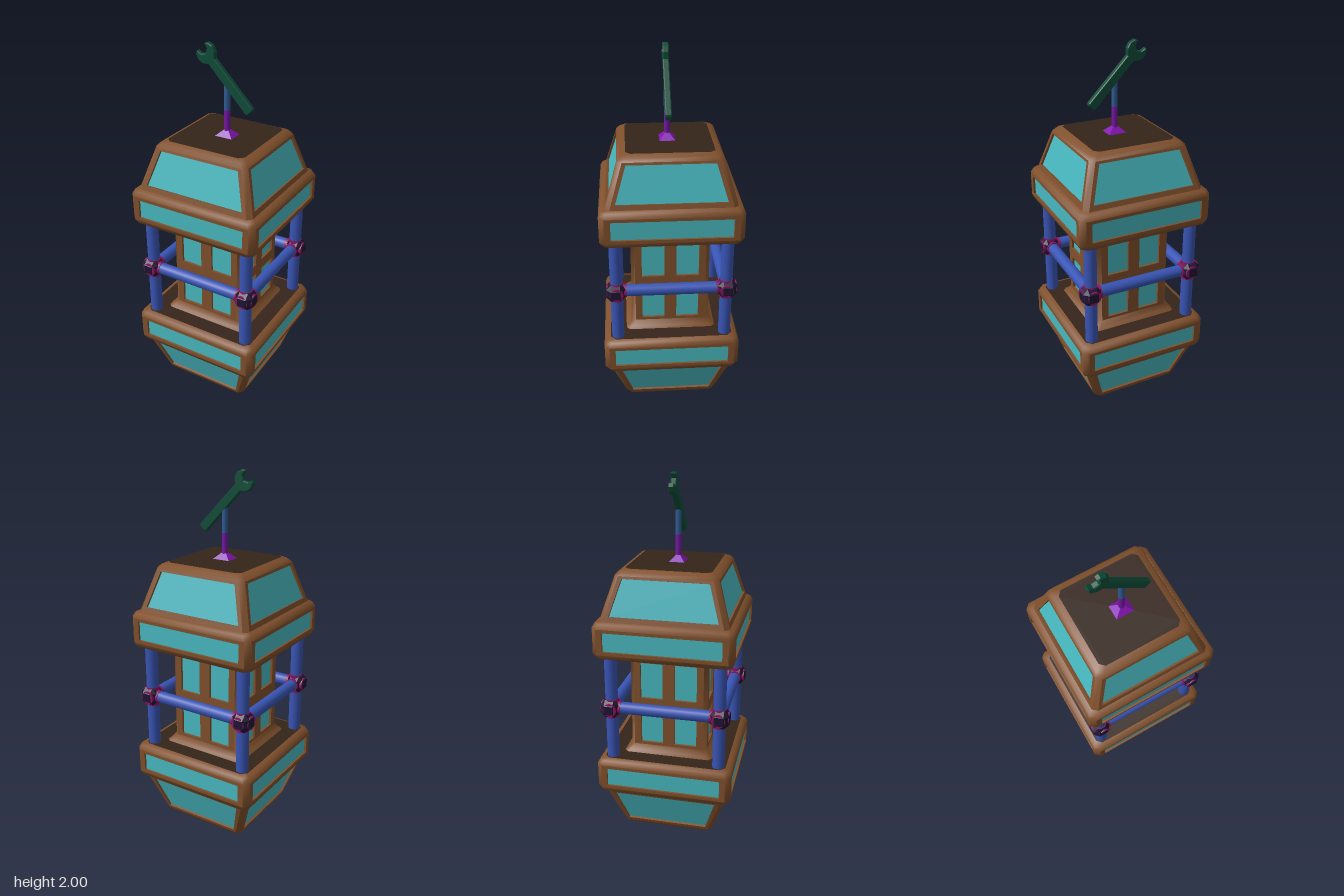
import * as THREE from 'three';
import { mergeGeometries, toCreasedNormals } from 'three/addons/utils/BufferGeometryUtils.js';
import { ConvexGeometry } from 'three/addons/geometries/ConvexGeometry.js';

const mat = (color, flatShading = false) => new THREE.MeshStandardMaterial({ color, flatShading });
const BROWN = mat(0x80502c), DARK = mat(0x35241a), TEAL = mat(0x48b8c0), BLUE = mat(0x3854b4);
const NAVY = mat(0x1e1432, true), PINK = mat(0x8a1460), PURPLE = mat(0x8414b4, true);
const STEEL = mat(0x2f5a90), GREEN = mat(0x0d4c38);

function add(parent, name, geometry, material, x = 0, y = 0, z = 0) {
  const mesh = new THREE.Mesh(geometry, material);
  mesh.name = name;
  mesh.position.set(x, y, z);
  parent.add(mesh);
  return mesh;
}

// Keep only positions and normals so that pieces can be merged
function plain(geometry) {
  const g = geometry.index ? geometry.toNonIndexed() : geometry;
  g.deleteAttribute('uv');
  return g;
}

// Square section with cut corners
const ring = ([h, y], c) => {
  const k = h - c;
  return [[h, k], [h, -k], [k, -h], [-k, -h], [-h, -k], [-h, k], [-k, h], [k, h]].map(([x, z]) => [x, y, z]);
};

// Skin through the sections; the four flat sides stay open after section `open`
function loft(profile, c, open) {
  const rings = profile.map(p => ring(p, c)), pos = [];
  for (let j = 0; j < rings.length - 1; j++) {
    for (let i = 0; i < 8; i++) {
      if (j === open && i % 2 === 0) continue;
      const n = (i + 1) % 8;
      const a = rings[j][i], b = rings[j][n], d = rings[j + 1][n], e = rings[j + 1][i];
      pos.push(...a, ...b, ...d, ...a, ...d, ...e);
    }
  }
  const g = new THREE.BufferGeometry();
  g.setAttribute('position', new THREE.Float32BufferAttribute(pos, 3));
  return toCreasedNormals(g, 1);
}

// Flat octagonal lid at an end of the profile
function lid(p, c, up) {
  const s = new THREE.Shape(ring(p, c).map(([x, , z]) => new THREE.Vector2(x, z)));
  return new THREE.ShapeGeometry(s).rotateX(up ? -Math.PI / 2 : Math.PI / 2).translate(0, p[1], 0);
}

const around = g => mergeGeometries([0, 1, 2, 3].map(k => g.clone().rotateY(k * Math.PI / 2)));

// One storey: skin, four frames with window openings, recessed panes, dark lids
// windows: [left, right, bottom, top, inset of each side at the top]
function tier(parent, name, profile, c, open, windows, depth) {
  const group = new THREE.Group();
  group.name = name;
  const [h0, y0] = profile[open], [h1, y1] = profile[open + 1];
  const slope = Math.hypot(y1 - y0, h1 - h0) / (y1 - y0);
  const v = y => (y - y0) * slope;
  const poly = pts => pts.map(([x, y]) => new THREE.Vector2(x, v(y)));
  const wall = new THREE.Shape(poly([[c - h0, y0], [h0 - c, y0], [h1 - c, y1], [c - h1, y1]]));
  const holes = windows.map(([l, r, b, t, s = 0]) => poly([[l, b], [r, b], [r - s, t], [l + s, t]]));
  wall.holes = holes.map(p => new THREE.Path(p));
  const place = g => plain(g).translate(0, 0, -depth).rotateX(Math.atan2(h1 - h0, y1 - y0)).translate(0, y0, h0);
  const frame = place(new THREE.ExtrudeGeometry(wall, { depth, bevelEnabled: false }));
  const panes = place(new THREE.ShapeGeometry(holes.map(p => new THREE.Shape(p))));
  add(group, name + 'Frame', mergeGeometries([plain(loft(profile, c, open)), around(frame)]), BROWN);
  add(group, name + 'Panes', around(panes), TEAL);
  add(group, name + 'Bottom', lid(profile[0], c, false), DARK);
  add(group, name + 'Top', lid(profile[profile.length - 1], c, true), DARK);
  parent.add(group);
}

export function createModel() {
  const model = new THREE.Group();
  model.name = 'lantern';

  // Tapered ends
  tier(model, 'base', [[0.225, 0], [0.25, 0.012], [0.262, 0.03], [0.345, 0.275]], 0.025, 2,
    [[-0.225, 0.225, 0.048, 0.25, -0.06]], 0.012);
  tier(model, 'roof', [[0.345, 1.26], [0.272, 1.5], [0.255, 1.518], [0.228, 1.53]], 0.025, 0,
    [[-0.287, 0.287, 1.298, 1.487, 0.058]], 0.012);

  // Wide bands
  for (const [name, y] of [['lowerBand', 0.265], ['upperBand', 1.063]]) {
    const p = [[0.338, 0], [0.363, 0.01], [0.375, 0.035], [0.375, 0.175], [0.363, 0.2], [0.338, 0.21]];
    tier(model, name, p.map(([h, dy]) => [h, y + dy]), 0.028, 2,
      [[-0.315, 0.315, y + 0.053, y + 0.158]], 0.012);
  }

  // Core with four windows on each side
  const windows = [];
  for (const [b, t] of [[0.53, 0.738], [0.8, 1.008]])
    for (const s of [-1, 1]) windows.push([s * 0.095 - 0.062, s * 0.095 + 0.062, b, t]);
  tier(model, 'core', [[0.255, 0.47], [0.235, 0.487], [0.215, 0.515], [0.215, 1.023], [0.235, 1.051], [0.255, 1.068]],
    0.02, 2, windows, 0.014);

  // Posts, rails and corner joints
  const Y = 0.77, P = 0.297;
  const corners = [];
  for (const sx of [-1, 1]) for (const sy of [-1, 1]) for (const sz of [-1, 1])
    for (const [a, b, c] of [[0.052, 0.024, 0.024], [0.024, 0.052, 0.024], [0.024, 0.024, 0.052]])
      corners.push(new THREE.Vector3(sx * a, sy * b, sz * c));
  const jointGeo = new ConvexGeometry(corners);
  const postGeo = new THREE.CylinderGeometry(0.034, 0.034, 0.62, 16);
  const railGeo = new THREE.CylinderGeometry(0.033, 0.033, 2 * P, 16).rotateZ(Math.PI / 2);
  const collarGeo = new THREE.CylinderGeometry(0.037, 0.037, 0.108, 16);
  const cage = new THREE.Group();
  cage.name = 'cage';
  for (let k = 0; k < 4; k++) {
    const side = new THREE.Group();
    side.name = 'cageSide';
    side.rotation.y = k * Math.PI / 2;
    add(side, 'post', postGeo, BLUE, P, Y, P);
    add(side, 'rail', railGeo, BLUE, 0, Y, P);
    add(side, 'joint', jointGeo, NAVY, 0.302, Y, 0.302);
    add(side, 'postCollar', collarGeo, PINK, P, Y, P);
    for (const s of [-1, 1])
      add(side, 'railCollar', collarGeo, PINK, s * P, Y, P).rotation.z = Math.PI / 2;
    cage.add(side);
  }
  model.add(cage);

  // Mast on a small pyramid foot
  const foot = new THREE.CylinderGeometry(0.02, 0.0707, 0.032, 4, 1).rotateY(Math.PI / 4).scale(1, 1, 0.83);
  add(model, 'mastFoot', foot, PURPLE, 0.01, 1.546, 0.006);
  add(model, 'mastLower', new THREE.CylinderGeometry(0.016, 0.016, 0.12, 12), mat(0x7416a0), 0.01, 1.61, 0.006);
  add(model, 'mastUpper', new THREE.CylinderGeometry(0.016, 0.016, 0.17, 12), STEEL, 0.01, 1.755, 0.006);

  // Open-ended spanner, tilted on top of the mast
  const outline = [[0.008, -0.026], [0.32, -0.024], [0.345, -0.05], [0.375, -0.058], [0.405, -0.047], [0.413, -0.03],
    [0.385, -0.024], [0.372, 0], [0.385, 0.024], [0.413, 0.03], [0.405, 0.047], [0.375, 0.058], [0.345, 0.05],
    [0.32, 0.024], [0.008, 0.026], [0, 0.018], [0, -0.018]];
  const spanner = new THREE.ExtrudeGeometry(new THREE.Shape(outline.map(p => new THREE.Vector2(...p))),
    { depth: 0.022, bevelThickness: 0.005, bevelSize: 0.004, bevelOffset: -0.004, bevelSegments: 1 });
  spanner.translate(0, 0, -0.011).rotateZ(THREE.MathUtils.degToRad(134));
  add(model, 'spanner', spanner, GREEN, 0.148, 1.68, 0.006);

  return model;
}
